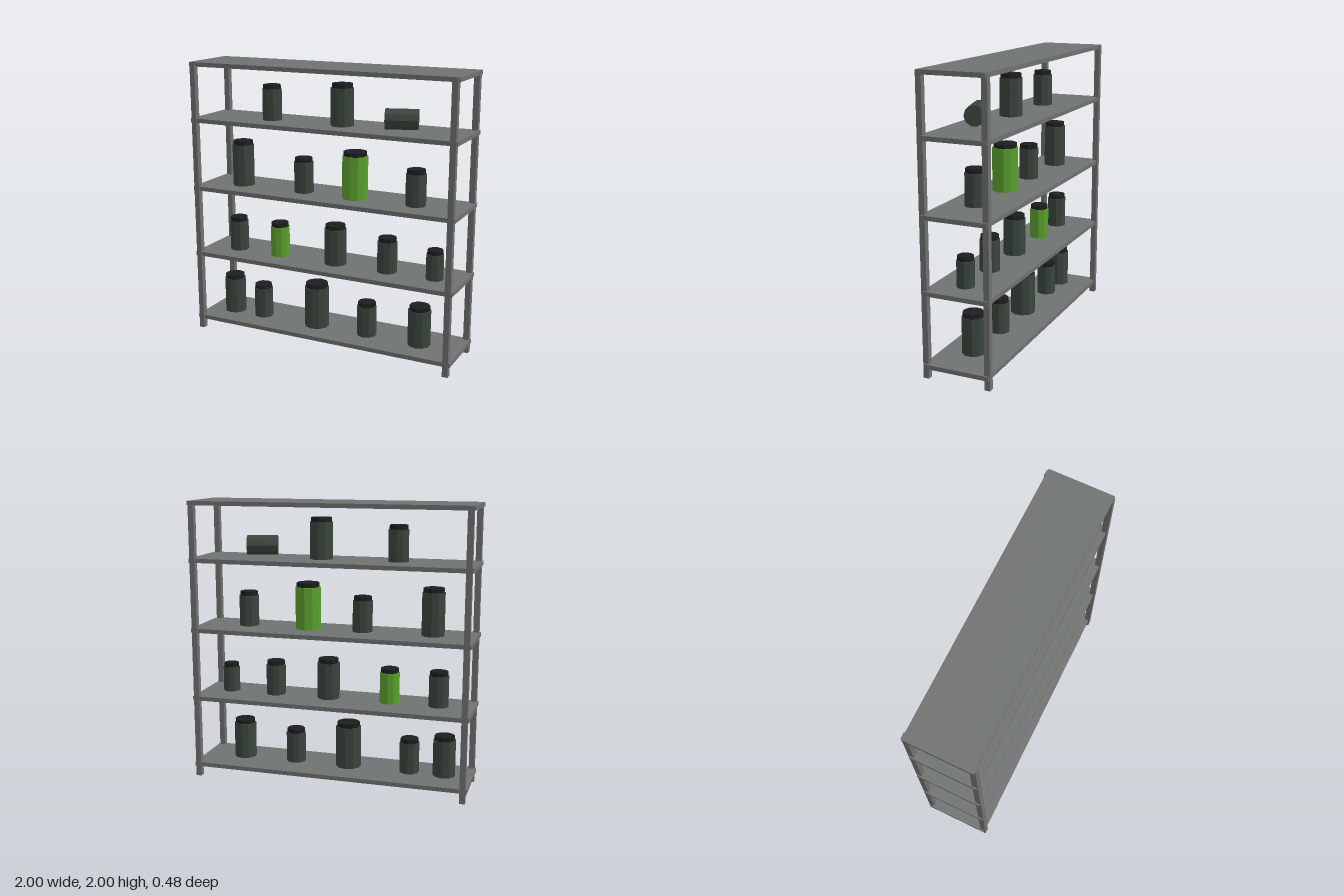
import * as THREE from 'three';

export function createModel() {
  const mat = (name, color) => {
    const m = new THREE.MeshStandardMaterial({ color, flatShading: true });
    m.name = name;
    return m;
  };
  const steel = mat('greySteel', 0x6e7270);
  const darkGlass = mat('darkGreenGlass', 0x3a443c);
  const limeGlass = mat('limeGlass', 0x5aa02c);
  const black = mat('blackLid', 0x1c1d1f);

  const model = new THREE.Group();
  model.name = 'jarShelf';
  const add = (parent, name, geometry, material, x, y, z) => {
    const mesh = new THREE.Mesh(geometry, material);
    mesh.name = name;
    mesh.position.set(x, y, z);
    parent.add(mesh);
    return mesh;
  };

  // Corner posts, standing slightly proud of the shelf edges
  const rack = new THREE.Group();
  rack.name = 'rack';
  model.add(rack);
  const postGeo = new THREE.BoxGeometry(0.04, 1.995, 0.04);
  for (const x of [-0.97, 0.97])
    for (const z of [-0.22, 0.22]) add(rack, 'post', postGeo, steel, x, 0.9975, z);

  // Shelf boards, by the height of their upper face
  const boardGeo = new THREE.BoxGeometry(2, 0.03, 0.464);
  for (const top of [0.1, 0.6, 1.1, 1.6, 2]) add(rack, 'shelfBoard', boardGeo, steel, 0, top - 0.015, 0);

  // Ten-sided jar with a narrower lid
  const LID = 0.03;
  const addJar = (x, y, r, height, glass) => {
    const jar = new THREE.Group();
    jar.name = 'jar';
    jar.position.set(x, y, 0.02);
    const h = height - LID;
    add(jar, 'jarBody', new THREE.CylinderGeometry(r, r, h, 10), glass, 0, h / 2, 0);
    add(jar, 'jarLid', new THREE.CylinderGeometry(r * 0.905, r * 0.905, LID, 10), black, 0, h + LID / 2, 0);
    model.add(jar);
  };

  // Jars per shelf: x, radius, height, lime or not
  const rows = [
    [0.1, [[-0.8, 0.08, 0.29], [-0.55, 0.07, 0.25], [-0.1, 0.09, 0.33], [0.3, 0.07, 0.25], [0.7, 0.08, 0.29]]],
    [0.6, [[-0.75, 0.07, 0.25], [-0.4, 0.07, 0.25, true], [0.05, 0.08, 0.29], [0.45, 0.07, 0.25], [0.8, 0.06, 0.21]]],
    [1.1, [[-0.7, 0.08, 0.33], [-0.2, 0.07, 0.25], [0.2, 0.09, 0.33, true], [0.65, 0.07, 0.25]]],
    [1.6, [[-0.45, 0.07, 0.25], [0.1, 0.08, 0.29]]],
  ];
  for (const [y, jars] of rows)
    for (const [x, r, h, lime] of jars) addJar(x, y, r, h, lime ? limeGlass : darkGlass);

  // Toppled jar without a lid
  const fallen = add(model, 'fallenJar', new THREE.CylinderGeometry(0.07, 0.07, 0.22, 10), darkGlass, 0.55, 1.682, 0.05);
  fallen.rotation.set(0, 0.3, Math.PI / 2);

  return model;
}
